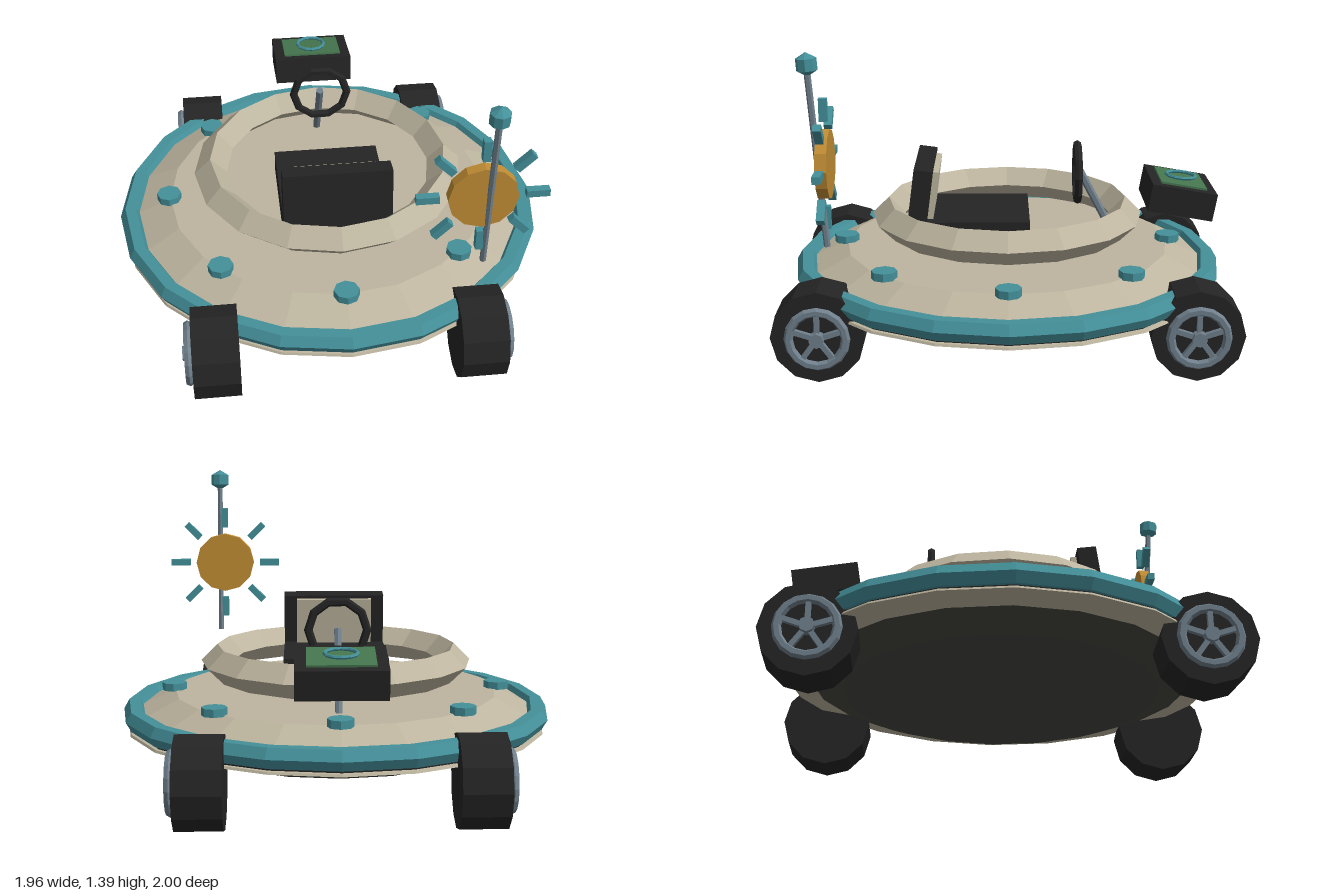
import * as THREE from 'three';

const paint = (name, color) => {
  const m = new THREE.MeshStandardMaterial({ color, flatShading: true });
  m.name = name;
  return m;
};

export function createModel() {
  const model = new THREE.Group();
  const tan = paint('tan', 0xbdb59f);
  const teal = paint('teal', 0x44909a);
  const black = paint('black', 0x242424);
  const steel = paint('steel', 0x6f7f8b);
  const amber = paint('amber', 0xc08c34);
  const green = paint('green', 0x45764f);
  const under = paint('underside', 0x45473f);

  const add = (name, geometry, material, pos = [0, 0, 0], rot = [0, 0, 0], parent = model) => {
    const mesh = new THREE.Mesh(geometry, material);
    mesh.name = name;
    mesh.position.set(...pos);
    mesh.rotation.set(...rot);
    parent.add(mesh);
    return mesh;
  };
  const box = (x, y, z) => new THREE.BoxGeometry(x, y, z);
  const lathe = (pts) => new THREE.LatheGeometry(pts.map(p => new THREE.Vector2(...p)), 20);
  const rod = (name, a, b, r, material) => {
    const from = new THREE.Vector3(...a), to = new THREE.Vector3(...b);
    const dir = to.clone().sub(from);
    const mesh = add(name, new THREE.CylinderGeometry(r, r, dir.length(), 6), material);
    mesh.position.copy(from).add(to).multiplyScalar(0.5);
    mesh.quaternion.setFromUnitVectors(new THREE.Vector3(0, 1, 0), dir.normalize());
    return mesh;
  };
  const flat = Math.PI / 2;

  // Saucer body
  add('upperHull', lathe([[0.93, 0.3], [0.93, 0.33], [0.74, 0.42], [0, 0.42]]), tan);
  add('rimRing', new THREE.TorusGeometry(0.93, 0.05, 6, 20), teal, [0, 0.33, 0], [flat, 0, 0]);
  add('rimGroove', lathe([[0.94, 0.268], [0.94, 0.3]]), black);
  add('lowerLip', lathe([[0.84, 0.242], [0.96, 0.265], [0.955, 0.275], [0.9, 0.28]]), tan);
  add('underside', lathe([[0, 0.185], [0.7, 0.185], [0.85, 0.245]]), under);

  // Lights around the deck
  for (let i = 0; i < 8; i++) {
    const a = i * Math.PI / 4;
    add('deckLight', new THREE.CylinderGeometry(0.056, 0.056, 0.035, 8), teal,
      [0.745 * Math.sin(a), 0.434, 0.745 * Math.cos(a)]);
  }

  // Cockpit ring with a diamond section
  add('cockpitRing', new THREE.TorusGeometry(0.545, 0.075, 4, 16), tan, [0, 0.555, 0], [flat, 0, 0]);

  // Seat
  add('seatCushion', box(0.48, 0.11, 0.5), black, [0, 0.52, 0.15]);
  add('seatBack', box(0.48, 0.33, 0.085), black, [0, 0.648, 0.393], [-0.13, 0, 0]);
  add('seatPad', box(0.36, 0.23, 0.03), tan, [0, 0.677, 0.335], [-0.13, 0, 0]);

  // Steering
  add('steeringWheel', new THREE.TorusGeometry(0.128, 0.019, 6, 10), black, [0, 0.745, -0.323]);
  rod('steeringColumn', [0, 0.75, -0.335], [0, 0.41, -0.515], 0.018, steel);

  // Tilted display console
  const consoleGroup = new THREE.Group();
  consoleGroup.name = 'console';
  consoleGroup.position.set(0, 0.648, -0.786);
  consoleGroup.rotation.x = -0.17;
  model.add(consoleGroup);
  add('consoleBox', box(0.375, 0.125, 0.295), black, [0, 0, 0], [0, 0, 0], consoleGroup);
  add('consoleScreen', box(0.28, 0.009, 0.21), green, [0, 0.067, 0], [0, 0, 0], consoleGroup);
  add('screenRing', new THREE.TorusGeometry(0.067, 0.008, 6, 12), teal,
    [0, 0.083, 0], [flat + 0.08, 0, 0], consoleGroup);

  // Sun ornament
  const sun = new THREE.Group();
  sun.name = 'sunOrnament';
  sun.position.set(0.55, 0.925, 0.757);
  model.add(sun);
  add('sunDisc', new THREE.CylinderGeometry(0.147, 0.147, 0.048, 12), amber, [0, 0, 0], [flat, 0, 0], sun);
  for (let i = 0; i < 8; i++) {
    const a = i * Math.PI / 4;
    add('sunRay', box(0.097, 0.032, 0.034), teal,
      [0.228 * Math.cos(a), 0.228 * Math.sin(a), 0], [0, 0, a], sun);
  }

  // Antenna
  rod('antennaRod', [0.575, 0.575, 0.757], [0.575, 1.33, 0.813], 0.014, steel);
  add('antennaTip', new THREE.SphereGeometry(0.05, 8, 3), teal, [0.575, 1.345, 0.813], [0.07, 0, 0]);

  // Wheels, with the spoked hub on the outer side
  for (const sx of [-1, 1]) {
    for (const sz of [-1, 1]) {
      const wheel = new THREE.Group();
      wheel.name = 'wheel';
      wheel.position.set(sx * 0.57, 0.203, sz * 0.8);
      wheel.rotation.y = sx * flat;
      model.add(wheel);
      add('tyre', new THREE.CylinderGeometry(0.2, 0.2, 0.2, 12), black, [0, 0, 0], [flat, 0, 0], wheel);
      add('hubRing', new THREE.TorusGeometry(0.12, 0.02, 6, 16), steel, [0, 0, 0.115], [0, 0, 0], wheel);
      add('hubCap', new THREE.CylinderGeometry(0.032, 0.032, 0.045, 8), steel, [0, 0, 0.12], [flat, 0, 0], wheel);
      for (let i = 0; i < 5; i++) {
        const a = i * Math.PI * 0.4;
        add('spoke', box(0.022, 0.12, 0.022), steel,
          [-0.06 * Math.sin(a), 0.06 * Math.cos(a), 0.112], [0, 0, a], wheel);
      }
    }
  }
  return model;
}
